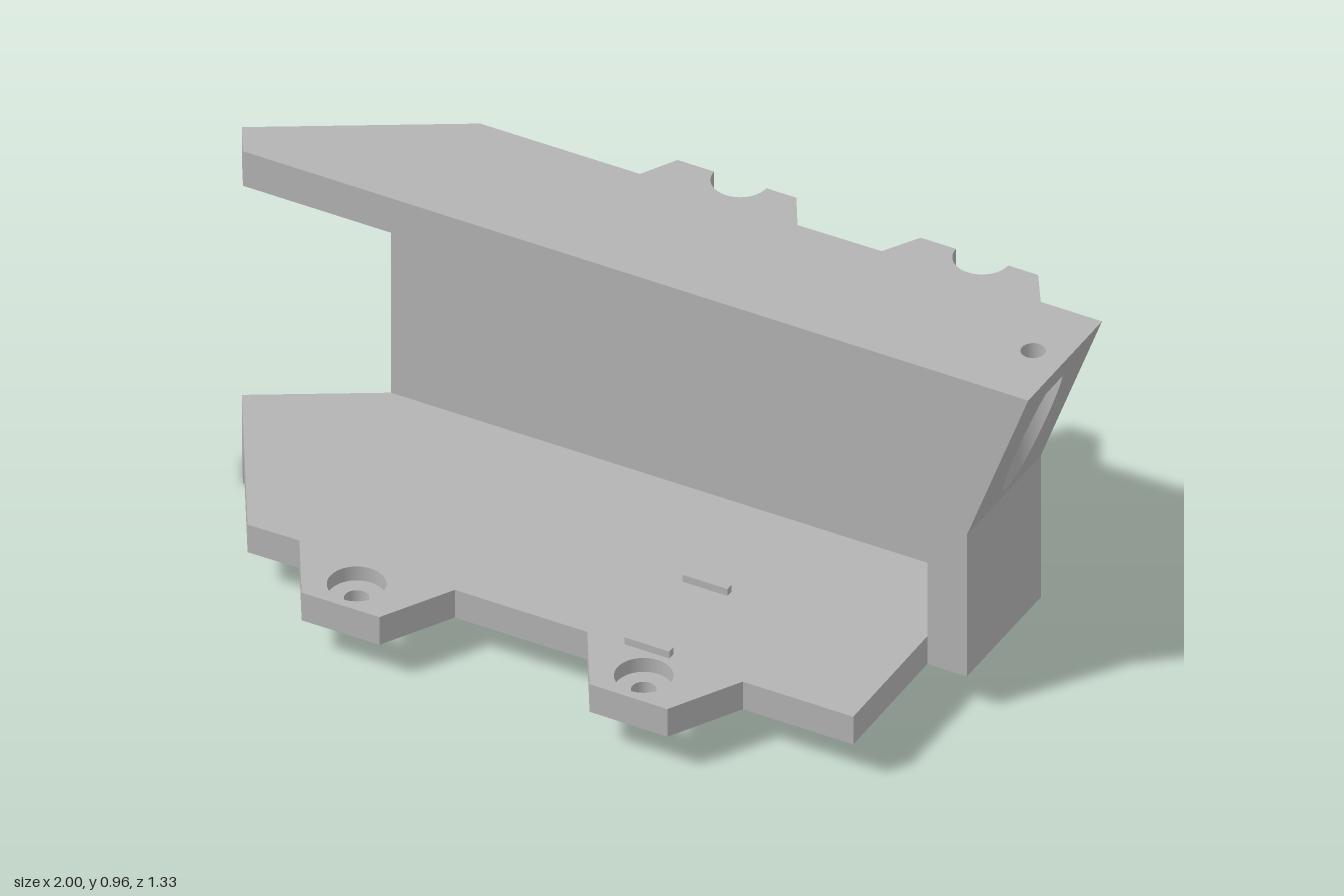
import * as THREE from 'three';

// The bracket runs along a line turned 30 degrees: u along it, v across it.
const C = Math.cos(Math.PI / 6), S = 0.5;
const P = (u, v) => [u * C - v * S, u * S + v * C];

// Heights
const Y_PLATE = 0.105, Y_STEP = 0.145, Y_FLOOR = 0.185, Y_ROOF = 0.86, Y_TOP = 0.96;
// Flared end: u and v limits, start height, pocket centre and radii
const U0 = 0.785, U1 = 0.949, V0 = 0.006, V1 = -0.357, Y_FLARE = 0.515;
const UC = 0.863, VC = -0.176, R = 0.07, BORE = 0.03, Y_POCKET = 0.88;

const FRONT_PADS = [[-0.75, 0.1], [-0.085, 0.485]];
const BACK_PADS = [[0.165, -0.425], [0.725, -0.1]];
const END_FRONT = P(U0, V0), END_BACK = P(U0, V1);

function circle(x, y, r) {
  const path = new THREE.Path();
  path.absarc(x, y, r, 0, Math.PI * 2, true);
  return path;
}

// Extrude an outline given in (x, z) between two heights; holes are [x, z, r]
function slab(outline, y0, y1, holes = []) {
  const shape = new THREE.Shape(outline.map(([x, z]) => new THREE.Vector2(x, -z)));
  holes.forEach(([x, z, r]) => shape.holes.push(circle(x, -z, r)));
  const geo = new THREE.ExtrudeGeometry(shape, { depth: y1 - y0, bevelEnabled: false, curveSegments: 32 });
  return geo.rotateX(-Math.PI / 2).translate(0, y0, 0);
}

// Half-round screwdriver groove around a rear screw, cut into the wall
function groove([x, z]) {
  const pts = [];
  for (let i = 0; i <= 20; i++) {
    const a = Math.PI * i / 20;
    const [dx, dz] = P(-R * Math.cos(a), R * Math.sin(a));
    pts.push([x + dx, z + dz]);
  }
  return pts;
}

// Slanted end with a screw pocket that opens through it (local axes u, y, v)
function buildFlare(add) {
  const uAt = y => U0 + (U1 - U0) * (y - Y_FLARE) / (Y_TOP - Y_FLARE);
  const yAt = u => Y_FLARE + (Y_TOP - Y_FLARE) * (u - U0) / (U1 - U0);
  const flare = new THREE.Group();
  flare.name = 'flaredEnd';
  flare.rotation.y = -Math.PI / 6;

  // Triangular cheeks
  const tri = new THREE.Shape([[U0, Y_FLARE], [U1, Y_TOP], [U0, Y_TOP]].map(p => new THREE.Vector2(...p)));
  add(new THREE.ShapeGeometry(tri).translate(0, 0, V0), 'flareFrontCheek', flare);
  add(new THREE.ShapeGeometry(tri).scale(1, 1, -1).translate(0, 0, V1), 'flareBackCheek', flare);

  // Top with the screw bore
  const top = new THREE.Shape([[U0, -V0], [U1, -V0], [U1, -V1], [U0, -V1]].map(p => new THREE.Vector2(...p)));
  top.holes.push(circle(UC, -VC, BORE));
  add(new THREE.ShapeGeometry(top, 24).rotateX(-Math.PI / 2).translate(0, Y_TOP, 0), 'flareTop', flare);

  // Pocket rim where the upright cylinder meets the slanted face
  const t0 = Math.acos((uAt(Y_POCKET) - UC) / R), rim = [];
  const N = 40;
  for (let i = 0; i <= N; i++) {
    const t = t0 + (2 * Math.PI - 2 * t0) * i / N;
    const u = UC + R * Math.cos(t);
    rim.push({ u, y: yAt(u), v: VC + R * Math.sin(t) });
  }
  const face = new THREE.Shape([[-V0, Y_FLARE], [-V1, Y_FLARE], [-V1, Y_TOP], [-V0, Y_TOP]]
    .map(p => new THREE.Vector2(...p)));
  face.holes.push(new THREE.Path(rim.map(p => new THREE.Vector2(-p.v, p.y))));
  const faceGeo = new THREE.ShapeGeometry(face);
  const pos = faceGeo.attributes.position;
  for (let i = 0; i < pos.count; i++) {
    const v = -pos.getX(i), y = pos.getY(i);
    pos.setXYZ(i, uAt(y), y, v);
  }
  faceGeo.computeVertexNormals();
  add(faceGeo, 'flareSlantedFace', flare);

  // Pocket wall
  const verts = [], index = [];
  rim.forEach((p, i) => {
    verts.push(p.u, p.y, p.v, p.u, Y_POCKET, p.v);
    if (i < N) {
      const a = 2 * i;
      index.push(a, a + 2, a + 1, a + 1, a + 2, a + 3);
    }
  });
  const wall = new THREE.BufferGeometry();
  wall.setAttribute('position', new THREE.Float32BufferAttribute(verts, 3));
  wall.setIndex(index);
  wall.computeVertexNormals();
  add(wall, 'pocketWall', flare);

  // Pocket ceiling and screw bore
  const ceiling = new THREE.Shape(rim.map(p => new THREE.Vector2(p.u, p.v)));
  ceiling.holes.push(circle(UC, VC, BORE));
  add(new THREE.ShapeGeometry(ceiling, 24).rotateX(Math.PI / 2).translate(0, Y_POCKET, 0), 'pocketCeiling', flare);
  const h = Y_TOP - Y_POCKET;
  add(new THREE.CylinderGeometry(BORE, BORE, h, 24, 1, true).translate(UC, Y_POCKET + h / 2, VC), 'screwBore', flare);
  return flare;
}

export function createModel() {
  const model = new THREE.Group();
  model.name = 'mountingBracket';
  const grey = new THREE.MeshStandardMaterial({ color: 0xb3b3b3, side: THREE.DoubleSide });
  grey.name = 'grey';
  const add = (geo, name, parent = model) => {
    const mesh = new THREE.Mesh(geo, grey);
    mesh.name = name;
    parent.add(mesh);
    return mesh;
  };

  // Base plate with four screw pads, the front two counterbored
  const base = [
    [-1, -0.667], [-1, -0.145], [-0.88, -0.078], [-0.88, 0.132], [-0.7, 0.235], [-0.52, 0.13],
    [-0.213, 0.307], [-0.213, 0.517], [-0.033, 0.622], [0.147, 0.516], [0.403, 0.664],
    P(0.679, V0), END_FRONT, END_BACK, [0.855, -0.13], [0.675, -0.235], [0.49, -0.13],
    [0.295, -0.24], [0.295, -0.455], [0.115, -0.558], [-0.07, -0.455], [-0.44, -0.667],
  ];
  const holes = (pads, r) => pads.map(p => [...p, r]);
  add(slab(base, Y_PLATE, Y_STEP, holes([...FRONT_PADS, ...BACK_PADS], BORE)), 'basePlateLower');
  add(slab(base, Y_STEP, Y_FLOOR, [...holes(FRONT_PADS, R), ...holes(BACK_PADS, BORE)]), 'basePlateUpper');

  // Rear outline shared by the wall and the top plate, with two screw grooves
  const rear = [
    END_FRONT, END_BACK, [0.855, -0.025], ...groove(BACK_PADS[1]).reverse(), [0.583, -0.182],
    [0.49, -0.13], [0.295, -0.24], [0.295, -0.35], ...groove(BACK_PADS[0]).reverse(), [0.02, -0.509],
    [-0.07, -0.455], [-0.44, -0.667],
  ];
  add(slab([...rear, [-0.65, -0.667], P(0.679, V0 - 0.26), P(0.679, V0)], Y_FLOOR, Y_ROOF), 'rearWall');
  add(slab([...rear, [-1, -0.667], [-1, -0.57]], Y_ROOF, Y_TOP), 'topPlate');

  // Hooked lip under the back edge
  add(slab([[-1, -0.667], [-0.44, -0.667], [-0.27, -0.567], [-1, -0.567]], 0, Y_PLATE), 'bottomLip');

  // Locating ribs on the floor
  [[0.073, 0.132], [-0.07, 0.38]].forEach(([x, z]) => {
    const rib = add(new THREE.BoxGeometry(0.12, 0.02, 0.02), 'locatingRib');
    rib.position.set(x, Y_FLOOR + 0.01, z);
    rib.rotation.y = -Math.PI / 6;
  });

  model.add(buildFlare(add));
  return model;
}
